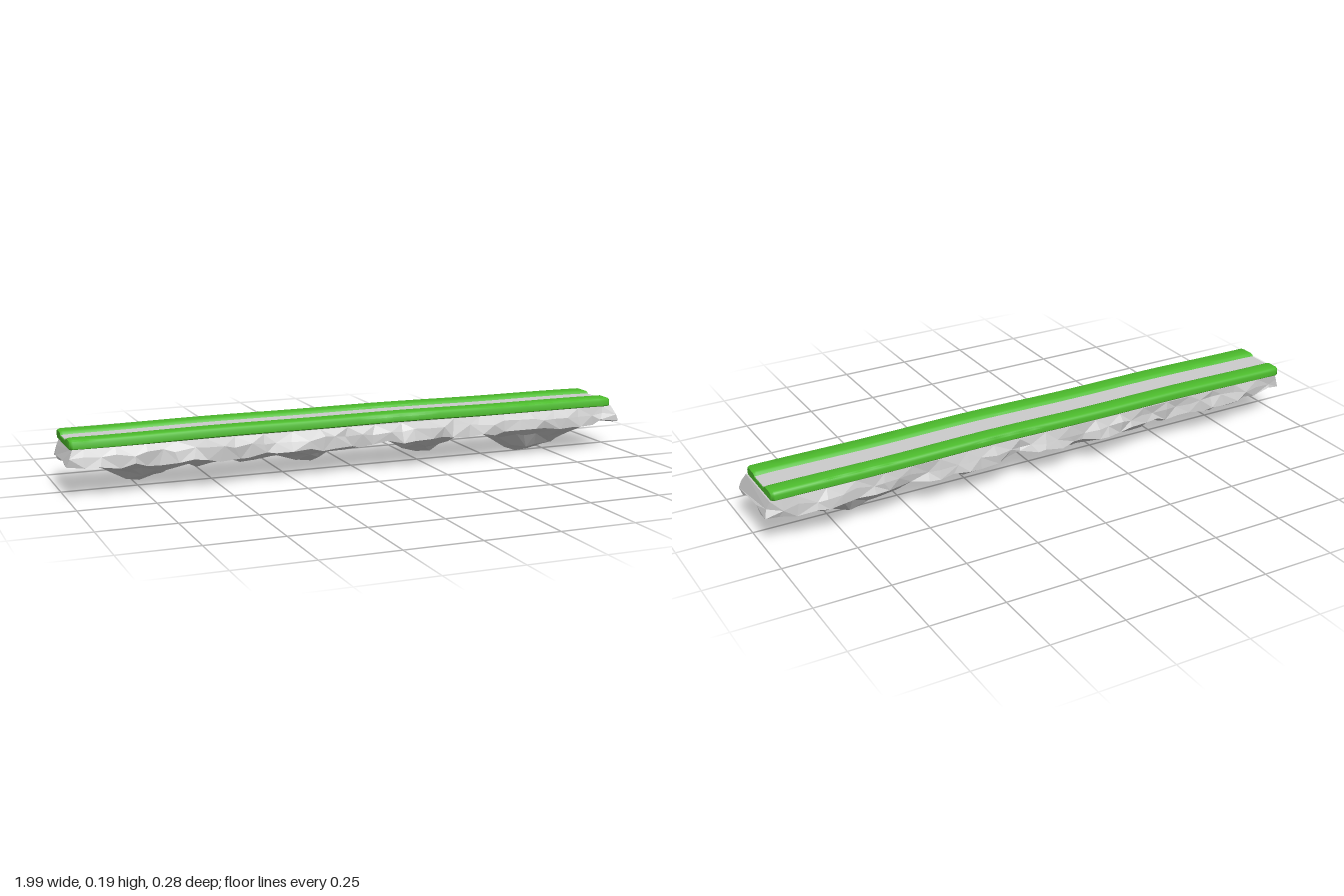
import * as THREE from 'three';
import { toCreasedNormals } from 'three/addons/utils/BufferGeometryUtils.js';

// Skin a run of closed sections; each point is [x, y, z], counterclockwise seen from +x
function loft(rings) {
  const pos = [];
  const tri = (a, b, c) => pos.push(...a, ...b, ...c);
  for (let r = 0; r < rings.length - 1; r++) {
    const A = rings[r], B = rings[r + 1], n = A.length;
    for (let i = 0; i < n; i++) {
      const j = (i + 1) % n;
      if ((r + i) % 2) {
        tri(A[i], A[j], B[j]);
        tri(A[i], B[j], B[i]);
      } else {
        tri(A[i], A[j], B[i]);
        tri(A[j], B[j], B[i]);
      }
    }
  }
  const cap = (ring, flip) => {
    const flat = ring.map(p => new THREE.Vector2(-p[2], p[1]));
    for (const [a, b, c] of THREE.ShapeUtils.triangulateShape(flat, []))
      flip ? tri(ring[a], ring[c], ring[b]) : tri(ring[a], ring[b], ring[c]);
  };
  cap(rings[0], true);
  cap(rings[rings.length - 1], false);
  const g = new THREE.BufferGeometry();
  g.setAttribute('position', new THREE.Float32BufferAttribute(pos, 3));
  g.computeVertexNormals();
  return g;
}

let seed = 7;
const rand = () => (seed = (seed * 16807) % 2147483647) / 2147483647;
const jitter = a => (rand() * 2 - 1) * a;

// Piecewise linear lookup
function sample(table, x) {
  let i = 0;
  while (i < table.length - 2 && x > table[i + 1][0]) i++;
  const [a, b] = [table[i], table[i + 1]];
  const t = THREE.MathUtils.clamp((x - a[0]) / (b[0] - a[0]), 0, 1);
  return a[1] + (b[1] - a[1]) * t;
}

// Gentle swell of the ground along its length
const lift = x => 0.003 * Math.cos(2.2 * x) - 0.001 + 0.001 * Math.sin(9 * x);
const sway = x => 0.0015 * Math.sin(7 * x);
const X0 = -0.985, X1 = 0.968;

// Two raised verges joined by a low bed
function grass() {
  const section = [
    [0.098, 0.168], [-0.113, 0.168], [-0.118, 0.172], [-0.119, 0.188], [-0.116, 0.196],
    [-0.109, 0.2], [-0.066, 0.2], [-0.058, 0.197], [-0.052, 0.188],
    [0.032, 0.188], [0.039, 0.197], [0.047, 0.2], [0.092, 0.2],
    [0.1, 0.196], [0.104, 0.188], [0.103, 0.172],
  ];
  const stations = [[X0, 0.93], [X0 + 0.003, 0.97], [X0 + 0.01, 1]];
  for (let i = 1; i < 40; i++) stations.push([X0 + (X1 - X0) * i / 40, 1]);
  stations.push([X1 - 0.01, 1], [X1 - 0.003, 0.97], [X1, 0.93]);
  return loft(stations.map(([x, s]) => section.map(([z, y]) => [
    x,
    0.18 + (y - 0.18) * (s < 1 ? s - 0.1 : 1) + lift(x),
    -0.0075 + (z + 0.0075) * s + sway(x),
  ])));
}

// Flat strip lying between the verges
function path() {
  const rings = [];
  for (let i = 0; i <= 40; i++) {
    const x = X0 + 0.002 + (X1 - X0 - 0.004) * i / 40;
    const y = 0.19 + lift(x) - (i % 40 ? 0 : 0.001), s = sway(x);
    rings.push([[0.033, 0.18], [-0.053, 0.18], [-0.055, y], [0.034, y]]
      .map(([z, h]) => [x, h, z + s]));
  }
  return loft(rings);
}

// Lowest point, front edge and back edge of the rock along x
const keel = [
  [-1, 0.12], [-0.9, 0.1], [-0.82, 0.05], [-0.76, 0.025], [-0.68, 0.045], [-0.6, 0.08],
  [-0.53, 0.055], [-0.45, 0.078], [-0.38, 0.052], [-0.3, 0.08], [-0.23, 0.06], [-0.16, 0.035],
  [-0.08, 0.078], [0.03, 0.085], [0.1, 0.11], [0.18, 0.06], [0.28, 0.032], [0.33, 0.06],
  [0.4, 0.1], [0.48, 0.1], [0.55, 0.055], [0.6, 0.02], [0.66, 0.003], [0.73, 0.025],
  [0.8, 0.035], [0.86, 0.085], [0.92, 0.105], [1, 0.125],
];
const frontEdge = [
  [-1, 0.108], [-0.83, 0.124], [-0.75, 0.112], [-0.53, 0.138], [-0.4, 0.112], [-0.2, 0.126],
  [-0.05, 0.112], [0.2, 0.132], [0.35, 0.115], [0.5, 0.116], [0.72, 0.126], [0.9, 0.11], [1, 0.116],
];
const backEdge = [
  [-1, 0.105], [-0.88, 0.126], [-0.7, 0.12], [-0.4, 0.118], [-0.23, 0.14], [-0.12, 0.118],
  [0, 0.14], [0.1, 0.12], [0.22, 0.136], [0.5, 0.118], [0.65, 0.124], [0.8, 0.143], [1, 0.112],
];

// Craggy underside, tapering to the keel
function rock() {
  const rings = [], n = 40;
  for (let i = 0; i <= n; i++) {
    const end = i === 0 || i === n;
    const x = -0.99 + 1.975 * i / n;
    const k = sample(keel, x), f = sample(frontEdge, x), b = sample(backEdge, x);
    const rim = Math.max(0.098, k) + (end ? -0.008 : 0.006);
    const drop = t => rim + (k - rim) * t;
    // [z, y, amount of roughness]
    const section = [
      [0.003, k, 0.2], [-b * 0.33, drop(0.7), 1], [-b * 0.68, drop(0.28), 1],
      [-b, rim + 0.004, 0.8], [-b * 0.97, 0.138, 0.7], [-Math.min(b, 0.116), 0.168, 0],
      [0.1, 0.168, 0], [f * 0.98, 0.142, 0.7], [f, rim, 0.8],
      [f * 0.68, drop(0.28), 1], [f * 0.35, drop(0.7), 1],
    ];
    rings.push(section.map(([z, y, r]) => {
      // Ends lean outwards from the grass to the rim
      const flare = end ? Math.sign(x) * (y < 0.12 ? 0.009 : y > 0.16 ? -0.012 : 0) : 0;
      return [
        x + flare + (end ? 0 : jitter(0.018 * r)),
        y + jitter(0.011 * r),
        z + jitter(0.009 * r),
      ];
    }));
  }
  return loft(rings);
}

export function createModel() {
  const group = new THREE.Group();
  group.name = 'floatingPath';
  const add = (name, geometry, color, flatShading = false) => {
    const mesh = new THREE.Mesh(geometry, new THREE.MeshStandardMaterial({ color, flatShading }));
    mesh.name = name;
    group.add(mesh);
  };
  add('rock', rock(), 0xcccccc, true);
  add('grass', toCreasedNormals(grass(), 0.8), 0x4cbb2c);
  add('path', toCreasedNormals(path(), 0.6), 0xcccccc);
  return group;
}
